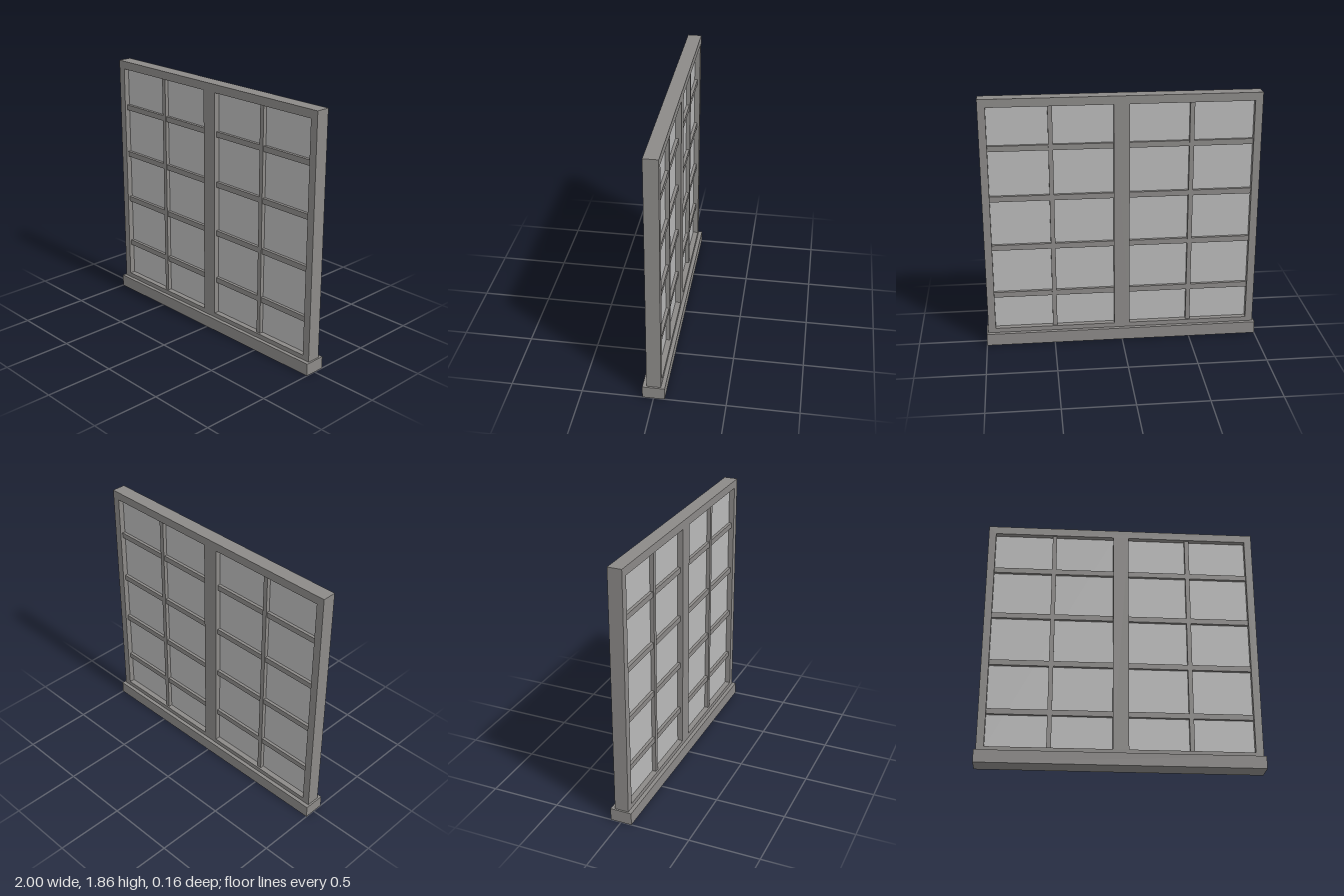
import * as THREE from 'three';

const frameMat = new THREE.MeshStandardMaterial({ color: 0x8c8a88 });
frameMat.name = 'grey frame';
const glassMat = new THREE.MeshStandardMaterial({ color: 0xbababa });
glassMat.name = 'pale glass';

// Box given by its limits in x and y and its depth about z = 0
function slab(name, x0, x1, y0, y1, depth, material) {
  const mesh = new THREE.Mesh(new THREE.BoxGeometry(x1 - x0, y1 - y0, depth), material);
  mesh.position.set((x0 + x1) / 2, (y0 + y1) / 2, 0);
  mesh.name = name;
  return mesh;
}

function rectangle(path, x0, x1, y0, y1) {
  path.moveTo(x0, y0);
  path.lineTo(x1, y0);
  path.lineTo(x1, y1);
  path.lineTo(x0, y1);
  path.closePath();
  return path;
}

export function createModel() {
  const model = new THREE.Group();
  model.name = 'window';

  const inner = 0.056, outer = 0.933, bottom = 0.123, top = 1.797;

  // Sill
  model.add(slab('sill', -1, 1, 0, 0.09, 0.155, frameMat));

  // Outer frame with centre mullion: one plate with two openings
  const shape = rectangle(new THREE.Shape(), -0.987, 0.987, 0.09, 1.856);
  shape.holes.push(rectangle(new THREE.Path(), -outer, -inner, bottom, top));
  shape.holes.push(rectangle(new THREE.Path(), inner, outer, bottom, top));
  const geometry = new THREE.ExtrudeGeometry(shape, { depth: 0.1, bevelEnabled: false });
  geometry.translate(0, 0, -0.05);
  const frame = new THREE.Mesh(geometry, frameMat);
  frame.name = 'frame';
  model.add(frame);

  // Glass and glazing bars of each sash
  for (const side of [-1, 1]) {
    const sash = new THREE.Group();
    sash.name = side > 0 ? 'leftSash' : 'rightSash';
    const x0 = side > 0 ? inner : -outer;
    const x1 = side > 0 ? outer : -inner;
    const mid = side * 0.495;
    sash.add(slab('glass', x0, x1, bottom, top, 0.02, glassMat));
    sash.add(slab('verticalBar', mid - 0.016, mid + 0.016, bottom, top, 0.076, frameMat));
    for (let i = 0; i < 4; i++) {
      const y = 0.386 + i * 0.3705;
      sash.add(slab('horizontalBar', x0, x1, y - 0.02, y + 0.02, 0.064, frameMat));
    }
    model.add(sash);
  }
  return model;
}
